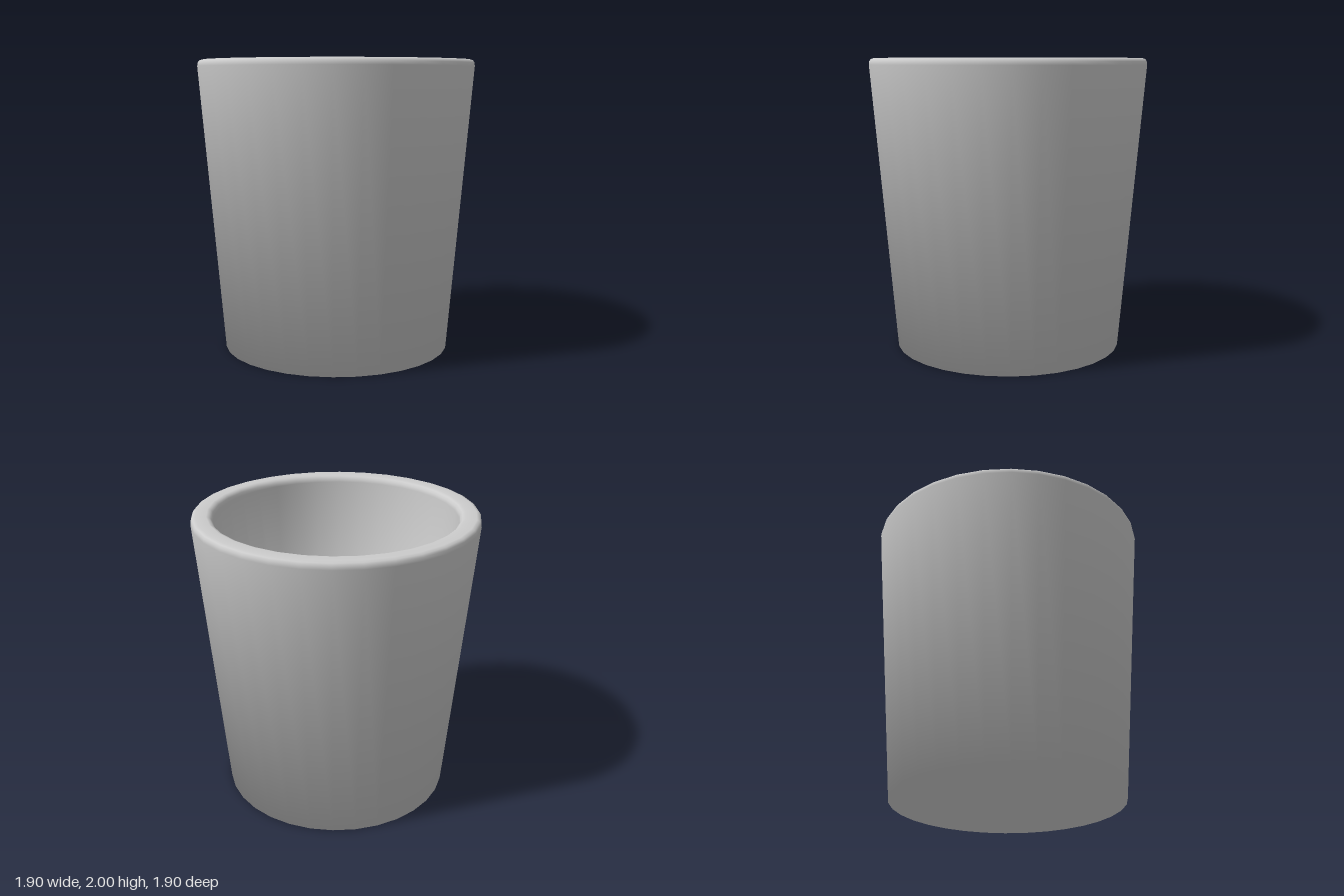
import * as THREE from 'three';

const SIDES = 32;

// Outer wall, rounded rim and inner wall as one profile [radius, height]
const PROFILE = [
  [0.785, 0],
  [0.948, 1.955], [0.945, 1.978], [0.935, 1.993], [0.915, 2],
  [0.845, 2], [0.825, 1.993], [0.811, 1.978], [0.805, 1.955],
  [0.69, 0.14],
];

export function createModel() {
  const group = new THREE.Group();
  group.name = 'cup';

  const points = PROFILE.map(([r, y]) => new THREE.Vector2(r, y));
  const geometry = new THREE.LatheGeometry(points, SIDES);
  const normal = geometry.attributes.normal;
  const index = Array.from(geometry.index.array);
  const rows = points.length;
  const last = rows - 1;

  // Blend the wall normals softly into the flat underside and inner floor
  for (let i = 0; i <= SIDES; i++) {
    const a = (i / SIDES) * Math.PI * 2;
    const sx = Math.sin(a) * 0.77, cz = Math.cos(a) * 0.77;
    normal.setXYZ(i * rows, sx, -0.64, cz);
    normal.setXYZ(i * rows + last, -sx, 0.64, -cz);
  }

  // Close the underside and inner floor with fans sharing the wall vertices
  for (let i = 1; i < SIDES - 1; i++) {
    const p = i * rows, q = (i + 1) * rows;
    index.push(0, q, p);
    index.push(last, p + last, q + last);
  }
  geometry.setIndex(index);

  const body = new THREE.Mesh(geometry, new THREE.MeshStandardMaterial({ color: 0xcccccc }));
  body.name = 'cupBody';
  group.add(body);
  return group;
}
